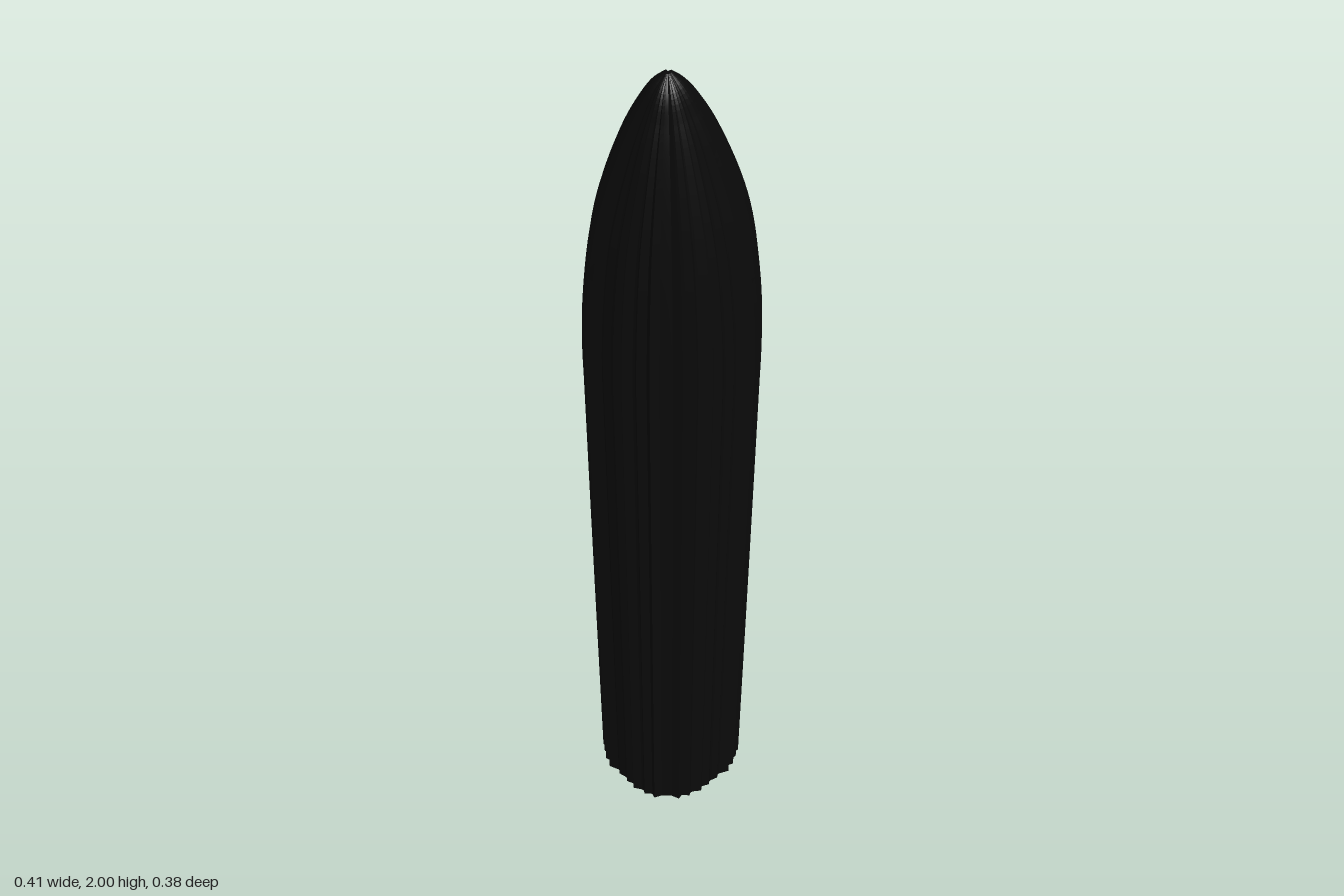
import * as THREE from 'three';

// Envelope by height: y, half width, front z, back z
const ENVELOPE = [
  [0, 0.175, 0.19, -0.125], [0.6, 0.189, 0.19, -0.157], [1.15, 0.201, 0.19, -0.186],
  [1.25, 0.203, 0.19, -0.189], [1.4, 0.196, 0.19, -0.18], [1.6, 0.169, 0.187, -0.14],
  [1.8, 0.11, 0.172, -0.058], [1.9, 0.07, 0.157, 0.005], [1.97, 0.033, 0.138, 0.06],
  [2, 0.007, 0.112, 0.092],
];
const envelope = new THREE.CubicInterpolant(
  ENVELOPE.map((r) => r[0]), ENVELOPE.flatMap((r) => r.slice(1)), 3, new Float32Array(3));

const LEVELS = 60;
const levelY = (j) => 2 * (1 - Math.pow(1 - j / LEVELS, 1.8));

// Right half of the heart-shaped section at the widest height (x, z)
const HALF = [
  [0, -0.084], [0.025, -0.089], [0.047, -0.105], [0.072, -0.142], [0.105, -0.168], [0.14, -0.175],
  [0.167, -0.168], [0.184, -0.14], [0.19, -0.1], [0.19, -0.04], [0.183, 0], [0.169, 0.04],
  [0.148, 0.08], [0.12, 0.115], [0.09, 0.145], [0.06, 0.167], [0.03, 0.177], [0, 0.179],
];

// Outer edges of the thin ribs on one side (x, z)
const RIB_TIPS = [
  [0.165, -0.189], [0.19, -0.16], [0.2, -0.13], [0.203, -0.095], [0.203, -0.062], [0.203, -0.028],
  [0.197, 0], [0.19, 0.033], [0.177, 0.065], [0.145, 0.095], [0.121, 0.125], [0.1, 0.152],
  [0.066, 0.174], [0.036, 0.189],
];

// Sweeps a closed section up through the envelope and caps both ends
function loft(section, flat) {
  const ring = THREE.ShapeUtils.area(section) < 0 ? section.slice().reverse() : section;
  const n = ring.length;
  const pos = [];
  const index = [];
  const addRing = (y) => {
    const [w, front, back] = envelope.evaluate(y);
    for (const p of ring) {
      pos.push(p.x * w / 0.203, y, back + (p.y + 0.189) / 0.378 * (front - back));
    }
  };
  for (let j = 0; j <= LEVELS; j++) addRing(levelY(j));
  for (let j = 0; j < LEVELS; j++) {
    for (let i = 0; i < n; i++) {
      const a = j * n + i;
      const b = j * n + (i + 1) % n;
      index.push(a, a + n, b, b, a + n, b + n);
    }
  }
  const faces = THREE.ShapeUtils.triangulateShape(ring, []);
  for (const y of [0, 2]) {
    const start = pos.length / 3;
    addRing(y);
    for (const [a, b, c] of faces) {
      if (y === 0) index.push(start + a, start + b, start + c);
      else index.push(start + a, start + c, start + b);
    }
  }
  let geometry = new THREE.BufferGeometry();
  geometry.setAttribute('position', new THREE.Float32BufferAttribute(pos, 3));
  geometry.setIndex(index);
  if (flat) geometry = geometry.toNonIndexed();
  geometry.computeVertexNormals();
  return geometry;
}

export function createModel() {
  const model = new THREE.Group();
  const material = new THREE.MeshStandardMaterial({ color: 0x0a0a0a });

  // Grooved body with a pointed top
  const half = new THREE.SplineCurve(HALF.map(([x, z]) => new THREE.Vector2(x, z))).getSpacedPoints(90);
  const mirrored = half.slice(1, -1).reverse().map((p) => new THREE.Vector2(-p.x, p.y));
  const body = new THREE.Mesh(loft([...half, ...mirrored], false), material);
  body.name = 'body';
  model.add(body);

  // Thin sharp ribs running the full length of both flanks
  const ribs = new THREE.Group();
  ribs.name = 'ribs';
  for (const [x, z] of RIB_TIPS) {
    const tip = new THREE.Vector2(x, z);
    let near = 0;
    half.forEach((p, i) => {
      if (p.distanceTo(tip) < half[near].distanceTo(tip)) near = i;
    });
    const a = half[Math.max(near - 1, 0)];
    const b = half[Math.min(near + 3, half.length - 1)];
    for (const side of [1, -1]) {
      const section = [a, tip, b].map((p) => new THREE.Vector2(p.x * side, p.y));
      const rib = new THREE.Mesh(loft(section, true), material);
      rib.name = side > 0 ? 'leftRib' : 'rightRib';
      ribs.add(rib);
    }
  }
  model.add(ribs);
  return model;
}
